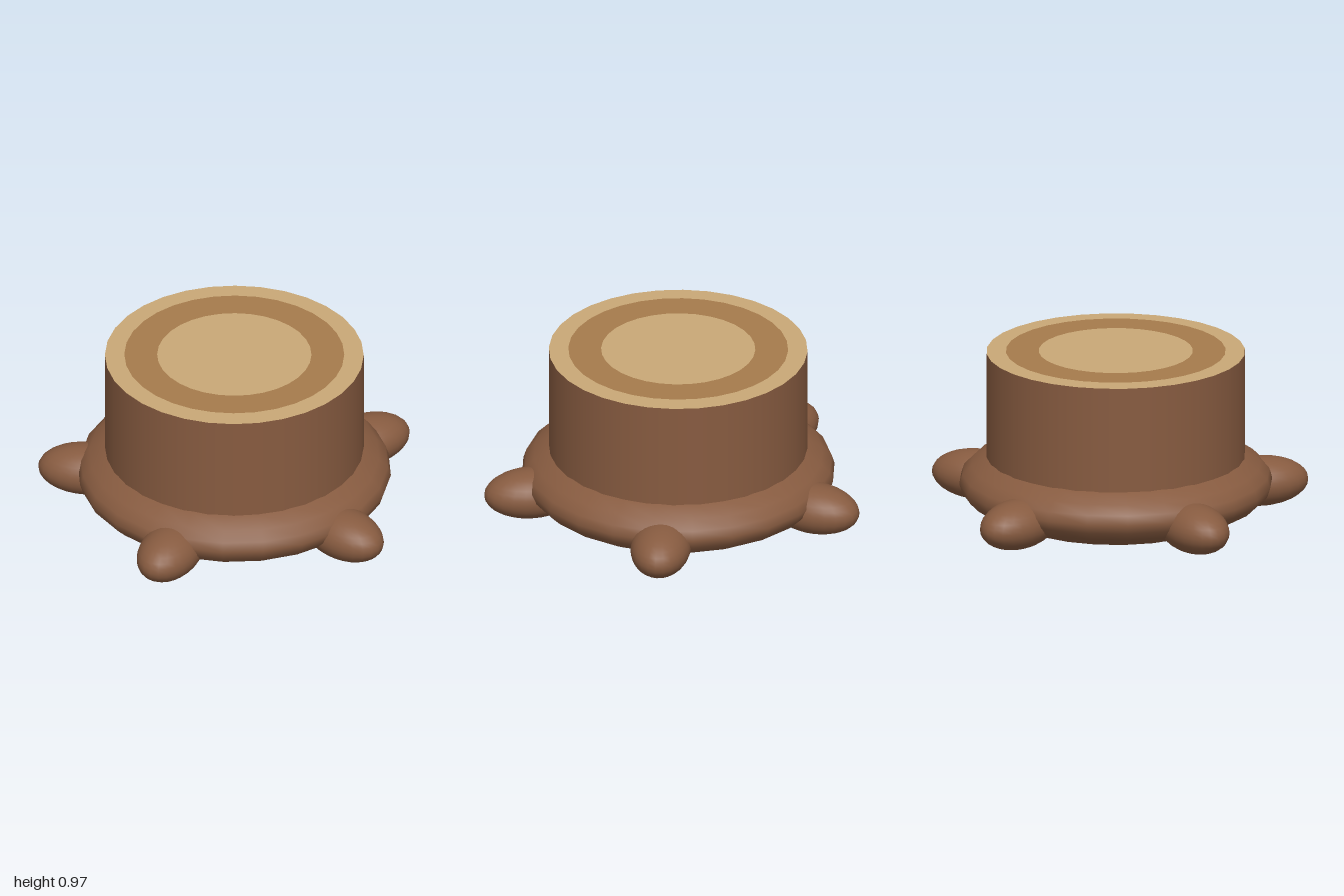
import * as THREE from 'three';

function material(name, color) {
  const m = new THREE.MeshStandardMaterial({ color });
  m.name = name;
  return m;
}

export function createModel() {
  const bark = material('bark', 0x875b40);
  const wood = material('paleWood', 0xc9a877);
  const ringWood = material('darkRing', 0xa67b4c);

  const model = new THREE.Group();
  model.name = 'treeStump';
  const stump = new THREE.Group();
  stump.name = 'stump';
  stump.position.z = 0.088;
  model.add(stump);

  function add(name, geometry, mat, y) {
    const mesh = new THREE.Mesh(geometry, mat);
    mesh.name = name;
    mesh.position.y = y;
    stump.add(mesh);
    return mesh;
  }

  // Trunk with a pale cut face
  const top = 0.97, bottom = 0.28;
  add('trunk', new THREE.CylinderGeometry(0.686, 0.686, top - bottom, 32),
    [bark, wood, bark], (top + bottom) / 2);

  // Growth rings painted on the cut face
  const rings = [
    ['outerRing', 0.409, 0.583, ringWood],
    ['heartwood', 0, 0.409, wood],
  ];
  for (const [name, inner, outer, mat] of rings) {
    const geometry = inner
      ? new THREE.RingGeometry(inner, outer, 32)
      : new THREE.CircleGeometry(outer, 32);
    add(name, geometry.rotateX(-Math.PI / 2), mat, top + 0.003);
  }

  // Flared base: a flattened ball
  add('flaredBase', new THREE.SphereGeometry(1, 24, 16).scale(0.832, 0.253, 0.832), bark, 0.254);

  // Five root knobs, the first pointing straight back
  const rootGeometry = new THREE.SphereGeometry(1, 24, 16).scale(0.16, 0.132, 0.257);
  for (let i = 0; i < 5; i++) {
    const angle = Math.PI + (i * Math.PI * 2) / 5;
    const root = add('root' + (i + 1), rootGeometry, bark, 0.198);
    root.position.x = Math.sin(angle) * 0.79;
    root.position.z = Math.cos(angle) * 0.79;
    root.rotation.y = angle;
  }

  return model;
}
